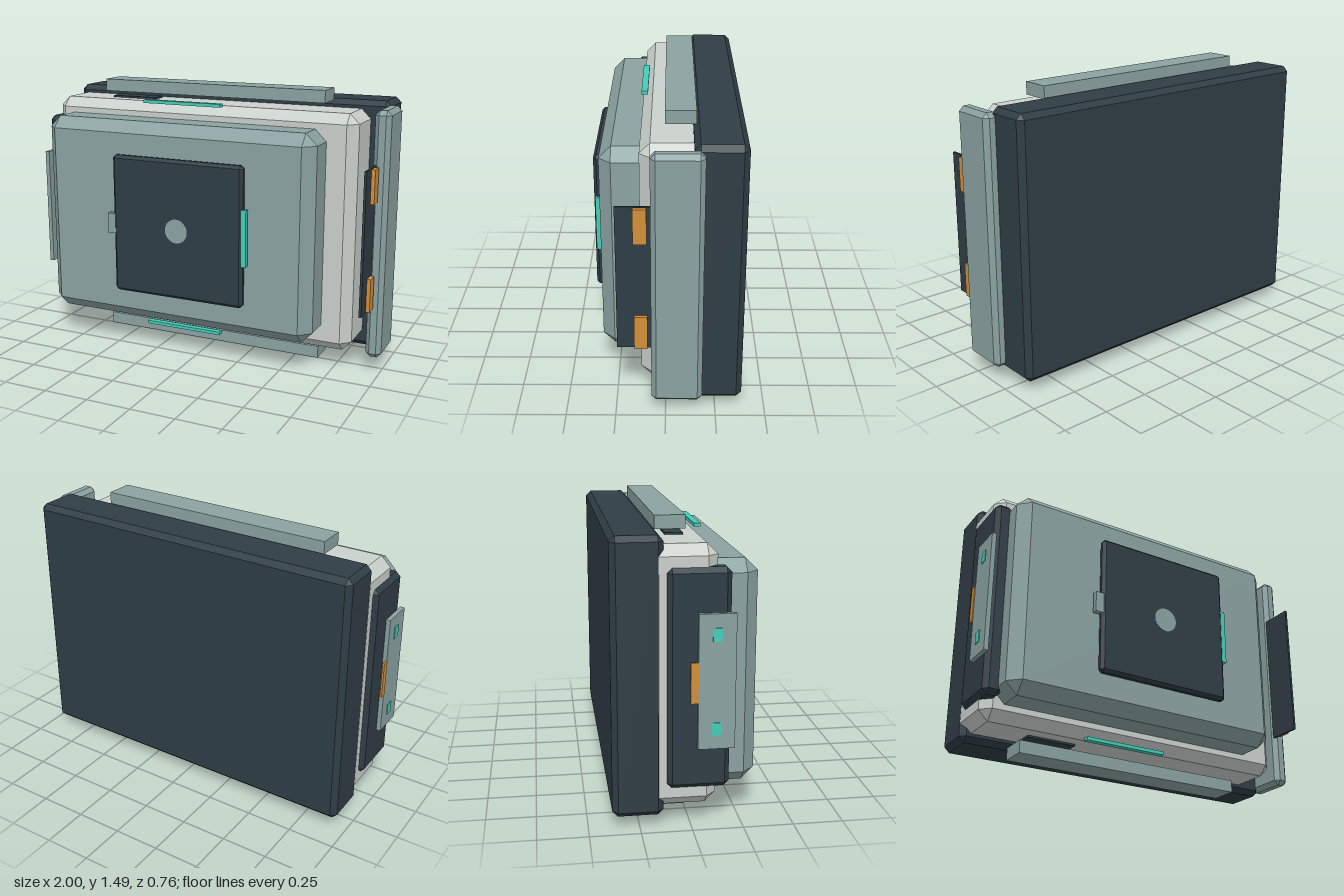
import * as THREE from 'three';
import { ConvexGeometry } from 'three/addons/geometries/ConvexGeometry.js';

const material = (name, color) => {
  const m = new THREE.MeshStandardMaterial({ color });
  m.name = name;
  return m;
};

// Box with all twelve edges bevelled flat by c
function bevelBox(w, h, d, c) {
  const points = [];
  for (const sx of [-1, 1]) for (const sy of [-1, 1]) for (const sz of [-1, 1]) {
    const x = sx * w / 2, y = sy * h / 2, z = sz * d / 2;
    const ix = x - sx * c, iy = y - sy * c, iz = z - sz * c;
    points.push(
      new THREE.Vector3(x, iy, iz),
      new THREE.Vector3(ix, y, iz),
      new THREE.Vector3(ix, iy, z));
  }
  return new ConvexGeometry(points);
}

export function createModel() {
  const group = new THREE.Group();
  const dark = material('dark slate', 0x2f3d45);
  const grey = material('grey green', 0x8aa2a1);
  const light = material('pale grey', 0xcad0cc);
  const teal = material('teal', 0x45cdb8);
  const orange = material('orange', 0xd28f3a);

  // Block given by its limits on each axis, bevelled when c > 0
  const block = (name, mat, [x0, x1], [y0, y1], [z0, z1], c = 0) => {
    const size = [x1 - x0, y1 - y0, z1 - z0];
    const mesh = new THREE.Mesh(
      c ? bevelBox(...size, c) : new THREE.BoxGeometry(...size), mat);
    mesh.position.set((x0 + x1) / 2, (y0 + y1) / 2, (z0 + z1) / 2);
    mesh.name = name;
    group.add(mesh);
  };

  // Stacked main body
  block('backSlab', dark, [-0.95, 0.945], [0.058, 1.432], [-0.383, -0.132], 0.028);
  block('middleBody', light, [-0.95, 0.842], [0.102, 1.388], [-0.21, 0.125], 0.052);
  block('frontPanel', grey, [-0.9, 0.685], [0.185, 1.305], [0.03, 0.328], 0.062);

  // Front hatch with knob, handle and hinge
  block('hatch', dark, [-0.44, 0.327], [0.363, 1.13], [0.332, 0.381], 0.016);
  const knob = new THREE.Mesh(new THREE.CylinderGeometry(0.066, 0.066, 0.03, 24), grey);
  knob.rotation.x = Math.PI / 2;
  knob.position.set(-0.055, 0.745, 0.3665);
  knob.name = 'knob';
  group.add(knob);
  block('hatchHandle', teal, [0.317, 0.346], [0.593, 0.9], [0.348, 0.374]);
  block('hatchHinge', grey, [-0.476, -0.425], [0.69, 0.802], [0.345, 0.375]);

  // Rails, light strips and vents, mirrored top and bottom
  const height = 1.49;
  for (const [side, at] of [
    ['top', (a, b) => [a, b]],
    ['bottom', (a, b) => [height - b, height - a]],
  ]) {
    block(side + 'Rail', grey, [-0.69, 0.632], at(1.423, 1.49), [-0.147, 0.005]);
    block(side + 'LightStrip', teal, [-0.376, 0.087], at(1.384, 1.402), [0.098, 0.132]);
    block(side + 'Vent', dark, [-0.645, -0.375], at(1.38, 1.398), [-0.09, 0.0]);
  }

  // Post and latch plate on the +x side
  block('leftPost', grey, [0.915, 1], [0.08, 1.41], [-0.182, 0.07], 0.024);
  block('latchPlate', dark, [0.922, 0.935], [0.363, 1.13], [0.02, 0.238]);
  for (const y of [0.457, 1.035])
    block('latch', orange, [0.935, 0.955], [y - 0.09, y + 0.09], [0.088, 0.153]);

  // Side module and control plate on the -x side
  block('rightModule', dark, [-0.973, -0.873], [0.205, 1.285], [-0.122, 0.182], 0.025);
  block('controlPlate', grey, [-0.996, -0.972], [0.415, 1.075], [0.022, 0.2]);
  block('controlBar', orange, [-1, -0.99], [0.645, 0.845], [-0.015, 0.022]);
  for (const y of [0.515, 0.975])
    block('controlLight', teal, [-1, -0.991], [y - 0.032, y + 0.032], [0.088, 0.132]);

  return group;
}
